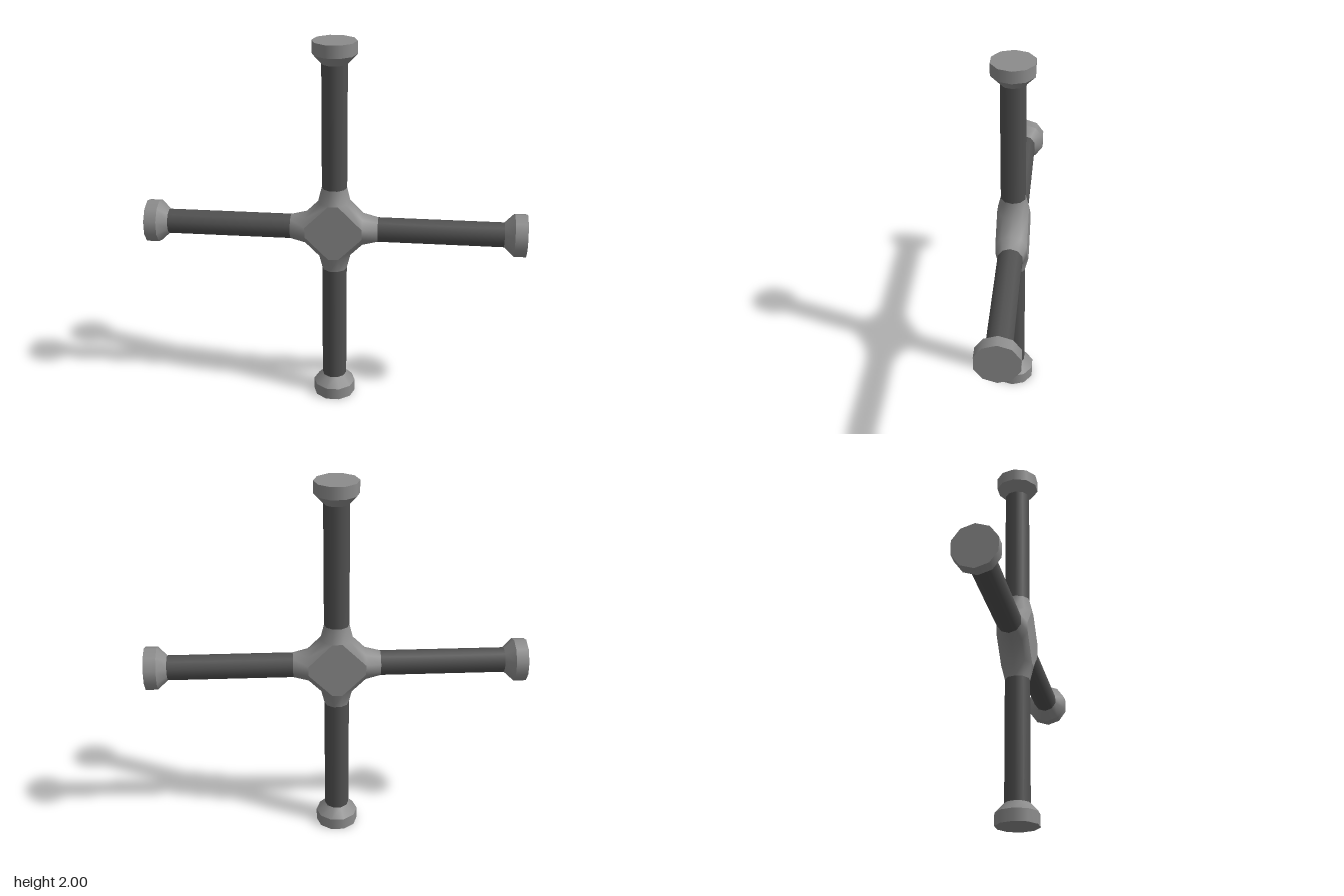
import * as THREE from 'three';
import { mergeVertices } from 'three/addons/utils/BufferGeometryUtils.js';

const SIDES = 10, STEP = Math.PI * 2 / SIDES;
const PIPE_R = 0.066, HUB_R = 0.086, CAP_R = 0.114;
const HUB_OUT = 0.23, HUB_IN = 0.15;

const light = new THREE.MeshStandardMaterial({ color: 0x8c8c8c });
const dark = new THREE.MeshStandardMaterial({ color: 0x505050 });

// Ten-sided cylinder along y from y0 to y1, with a corner on the x axis
function drum(name, r0, r1, y0, y1, material, open) {
  const geo = new THREE.CylinderGeometry(r1, r0, y1 - y0, SIDES, 1, open);
  geo.rotateY(Math.PI / 2).translate(0, (y0 + y1) / 2, 0);
  const mesh = new THREE.Mesh(geo, material);
  mesh.name = name;
  return mesh;
}

// Corner i of a ring around arm k at distance y from the hub centre
const Z = new THREE.Vector3(0, 0, 1);
function corner(k, y, r, i) {
  return new THREE.Vector3(r * Math.cos(i * STEP), y, r * Math.sin(i * STEP))
    .applyAxisAngle(Z, k * Math.PI / 2);
}

function meshFromPoints(name, points) {
  let geo = new THREE.BufferGeometry().setFromPoints(points);
  geo = mergeVertices(geo, 1e-4);
  geo.computeVertexNormals();
  const mesh = new THREE.Mesh(geo, light);
  mesh.name = name;
  return mesh;
}

function createHub() {
  const hub = new THREE.Group();
  hub.name = 'hub';
  const tris = [];
  const quad = (a, b, c, d) => tris.push(a, b, c, a, c, d);
  for (let k = 0; k < 4; k++) {
    // Tapered collar around each pipe
    for (let i = 0; i < SIDES; i++) {
      quad(corner(k, HUB_OUT, PIPE_R, i), corner(k, HUB_OUT, PIPE_R, i + 1),
        corner(k, HUB_IN, HUB_R, i + 1), corner(k, HUB_IN, HUB_R, i));
    }
    // Rounded web joining neighbouring collars
    for (let i = -2; i < 2; i++) {
      quad(corner(k, HUB_IN, HUB_R, i), corner(k, HUB_IN, HUB_R, i + 1),
        corner(k - 1, HUB_IN, HUB_R, 4 - i), corner(k - 1, HUB_IN, HUB_R, 5 - i));
    }
  }
  hub.add(meshFromPoints('hubCollars', tris));

  // Flat plates on the front and back
  for (const s of [1, -1]) {
    const rim = [];
    for (let k = 0; k < 4; k++) {
      rim.push(corner(k, HUB_IN, HUB_R, 2 * s), corner(k, HUB_IN, HUB_R, 3 * s));
    }
    if (s < 0) rim.reverse();
    const fan = [];
    for (let i = 1; i < rim.length - 1; i++) fan.push(rim[0], rim[i], rim[i + 1]);
    hub.add(meshFromPoints(s > 0 ? 'frontPlate' : 'backPlate', fan));
  }
  return hub;
}

export function createModel() {
  const model = new THREE.Group();
  model.name = 'pipeCross';

  const hub = createHub();
  hub.position.y = 1;
  model.add(hub);

  // Four arms, each a pipe with a flared end cap
  ['topArm', 'rightArm', 'bottomArm', 'leftArm'].forEach((name, k) => {
    const arm = new THREE.Group();
    arm.name = name;
    arm.add(drum('pipe', PIPE_R, PIPE_R, HUB_OUT, 0.885, dark, true));
    arm.add(drum('capFlare', PIPE_R, CAP_R, 0.885, 0.935, light, true));
    arm.add(drum('cap', CAP_R, CAP_R, 0.935, 1, light, false));
    arm.position.y = 1;
    arm.rotation.z = k * Math.PI / 2;
    model.add(arm);
  });
  return model;
}
